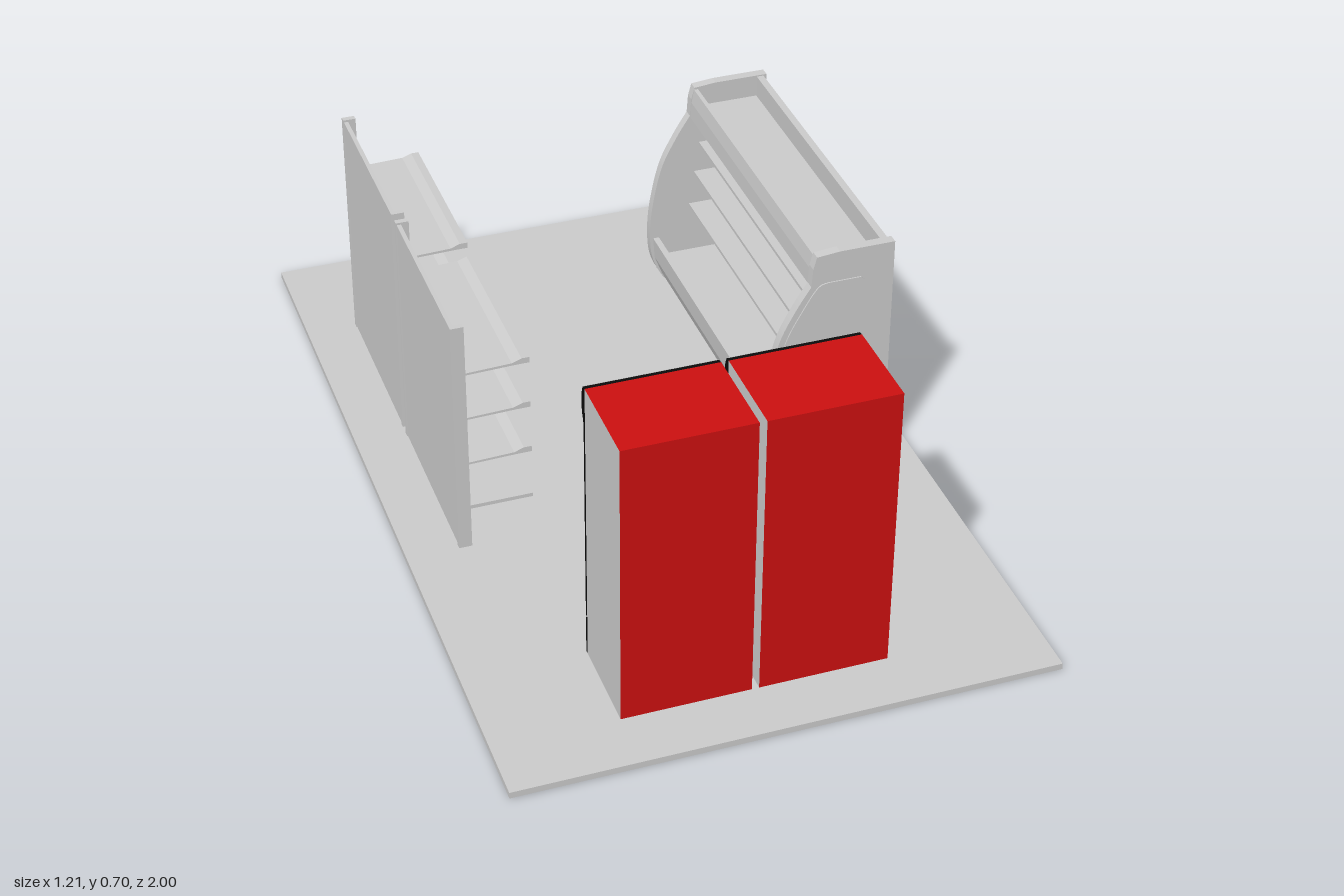
import * as THREE from 'three';

const grey = new THREE.MeshStandardMaterial({ color: 0xcccccc });
const red = new THREE.MeshStandardMaterial({ color: 0xcc1010 });
const black = new THREE.MeshStandardMaterial({ color: 0x0a0a0a });
const glass = new THREE.MeshStandardMaterial({ color: 0xa6bbc4 });

function add(parent, name, geometry, material = grey) {
  const mesh = new THREE.Mesh(geometry, material);
  mesh.name = name;
  parent.add(mesh);
  return mesh;
}

// Box given by its extents on each axis
function box(parent, name, [x0, x1], [y0, y1], [z0, z1], material) {
  const g = new THREE.BoxGeometry(x1 - x0, y1 - y0, z1 - z0);
  g.translate((x0 + x1) / 2, (y0 + y1) / 2, (z0 + z1) / 2);
  return add(parent, name, g, material);
}

// Side profile in x and y, extruded from z0 to z1
function slab(parent, name, shape, z0, z1, material) {
  const g = new THREE.ExtrudeGeometry(shape, { depth: z1 - z0, bevelEnabled: false, curveSegments: 16 });
  g.translate(0, 0, z0);
  return add(parent, name, g, material);
}

const polygon = (pts) => new THREE.Shape(pts.map(([x, y]) => new THREE.Vector2(x, y)));
const vectors = (pts) => pts.map(([x, y]) => new THREE.Vector2(x, y));

// Upright cooler with a glass door facing -z
function cooler(x0, x1) {
  const g = new THREE.Group();
  g.name = 'glassDoorCooler';
  // Body: red top and back, grey elsewhere
  box(g, 'coolerBody', [x0, x1], [0.015, 0.7], [0.647, 0.865], [grey, grey, red, grey, red, grey]);
  // Black door frame around the glass
  const y0 = 0.13, y1 = 0.575, z = [0.638, 0.647];
  box(g, 'doorBackFrame', [x0, x1], [0.115, 0.61], [0.643, 0.647], black);
  for (const [a, b] of [[x0, x0 + 0.018], [x1 - 0.018, x1]]) box(g, 'doorStile', [a, b], [y0, y1], z, black);
  box(g, 'doorTopRail', [x0, x1], [y1, 0.61], z, black);
  box(g, 'doorBottomRail', [x0, x1], [0.115, y0], z, black);
  box(g, 'doorGlass', [x0 + 0.018, x1 - 0.018], [y0, y1], [0.64, 0.643], glass);
  box(g, 'kickPlate', [x0, x1], [0.015, 0.108], [0.638, 0.647], black);
  // Bulging header with black ends, profile drawn in z and y
  const header = new THREE.Shape();
  header.moveTo(0.637, 0.615);
  header.bezierCurveTo(0.622, 0.635, 0.622, 0.68, 0.637, 0.7);
  header.closePath();
  const hg = new THREE.ExtrudeGeometry(header, { depth: x1 - x0, bevelEnabled: false, curveSegments: 14 });
  hg.rotateY(-Math.PI / 2);
  hg.translate(x1, 0, 0);
  add(g, 'coolerHeader', hg, [black, grey]);
  box(g, 'headerBacking', [x0, x1], [0.612, 0.699], [0.636, 0.647], black);
  return g;
}

// Wall shelving bay with its shelves towards +x
function shelvingBay(z0, z1) {
  const g = new THREE.Group();
  g.name = 'shelvingBay';
  box(g, 'backPanel', [-0.485, -0.475], [0.015, 0.595], [z0, z1]);
  for (const [a, b] of [[z0, z0 + 0.014], [z1 - 0.014, z1]]) {
    box(g, 'upright', [-0.487, -0.457], [0.015, 0.6], [a, b]);
  }
  // Shelves with a raised front rail
  for (const y of [0.23, 0.35, 0.467]) {
    const s = polygon([[-0.475, y - 0.003], [-0.345, y], [-0.31, y], [-0.31, y + 0.014],
      [-0.328, y + 0.014], [-0.35, y + 0.006], [-0.475, y + 0.002]]);
    slab(g, 'shelf', s, z0 + 0.015, z1 - 0.015);
  }
  box(g, 'bottomShelf', [-0.475, -0.31], [0.106, 0.115], [z0 + 0.015, z1 - 0.015]);
  return g;
}

// Open display cabinet facing -x
function displayCabinet() {
  const g = new THREE.Group();
  g.name = 'openDisplayCabinet';
  const zBack = -0.605, zFront = 0.208, t = 0.023;

  // Curved end panels
  const end = polygon([[0.53, 0.06], [0.53, 0.605], [0.4, 0.605], [0.346, 0.6], [0.338, 0.57], [0.335, 0.525]]);
  end.splineThru(vectors([[0.3, 0.468], [0.265, 0.395], [0.243, 0.3], [0.235, 0.22], [0.24, 0.145], [0.262, 0.09], [0.285, 0.06]]));
  end.closePath();
  slab(g, 'endPanel', end, zBack, zBack + t);
  slab(g, 'endPanel', end, zFront - t, zFront);

  // Raised plates on the outside of the end panels
  const plate = polygon([[0.25, 0.19], [0.452, 0.19], [0.46, 0.198], [0.46, 0.522], [0.452, 0.53], [0.375, 0.53]]);
  plate.splineThru(vectors([[0.35, 0.52], [0.315, 0.465], [0.28, 0.395], [0.258, 0.31], [0.25, 0.24], [0.25, 0.19]]));
  slab(g, 'endPlate', plate, zBack - 0.003, zBack);
  slab(g, 'endPlate', plate, zFront, zFront + 0.003);

  // Front bumper, well, back and top trough in one cross-section
  const body = polygon([[0.29, 0.06], [0.266, 0.09], [0.247, 0.14], [0.243, 0.195], [0.258, 0.195], [0.275, 0.145],
    [0.47, 0.145], [0.47, 0.52], [0.337, 0.52], [0.339, 0.56], [0.345, 0.595], [0.355, 0.595], [0.358, 0.55],
    [0.505, 0.55], [0.505, 0.602], [0.522, 0.602], [0.522, 0.06]]);
  slab(g, 'cabinetShell', body, zBack + t, zFront - t);

  // Inner shelves and ribs on the back
  [0.27, 0.36, 0.44].forEach((y, i) => {
    box(g, 'displayShelf', [0.335 + i * 0.012, 0.47], [y, y + 0.008], [zBack + t, zFront - t]);
  });
  for (const y of [0.27, 0.36, 0.44, 0.52]) {
    box(g, 'backRib', [0.52, 0.526], [y, y + 0.008], [zBack + t, zFront - t]);
  }

  // Plinth tapering towards the floor
  const plinth = box(g, 'plinth', [0.3, 0.515], [0.015, 0.062], [-0.575, 0.175]);
  const p = plinth.geometry.attributes.position;
  for (let i = 0; i < p.count; i++) {
    if (p.getY(i) > 0.03) continue;
    if (p.getX(i) < 0.4) p.setX(i, 0.333);
    p.setZ(i, p.getZ(i) > 0 ? 0.155 : -0.555);
  }
  plinth.geometry.computeVertexNormals();
  return g;
}

export function createModel() {
  const model = new THREE.Group();
  model.name = 'shopCorner';
  box(model, 'floor', [-0.607, 0.607], [0, 0.015], [-1, 1]);
  model.add(cooler(-0.328, -0.04), cooler(-0.024, 0.265));
  model.add(shelvingBay(-0.715, -0.262), shelvingBay(-0.237, 0.218));
  model.add(displayCabinet());
  return model;
}
